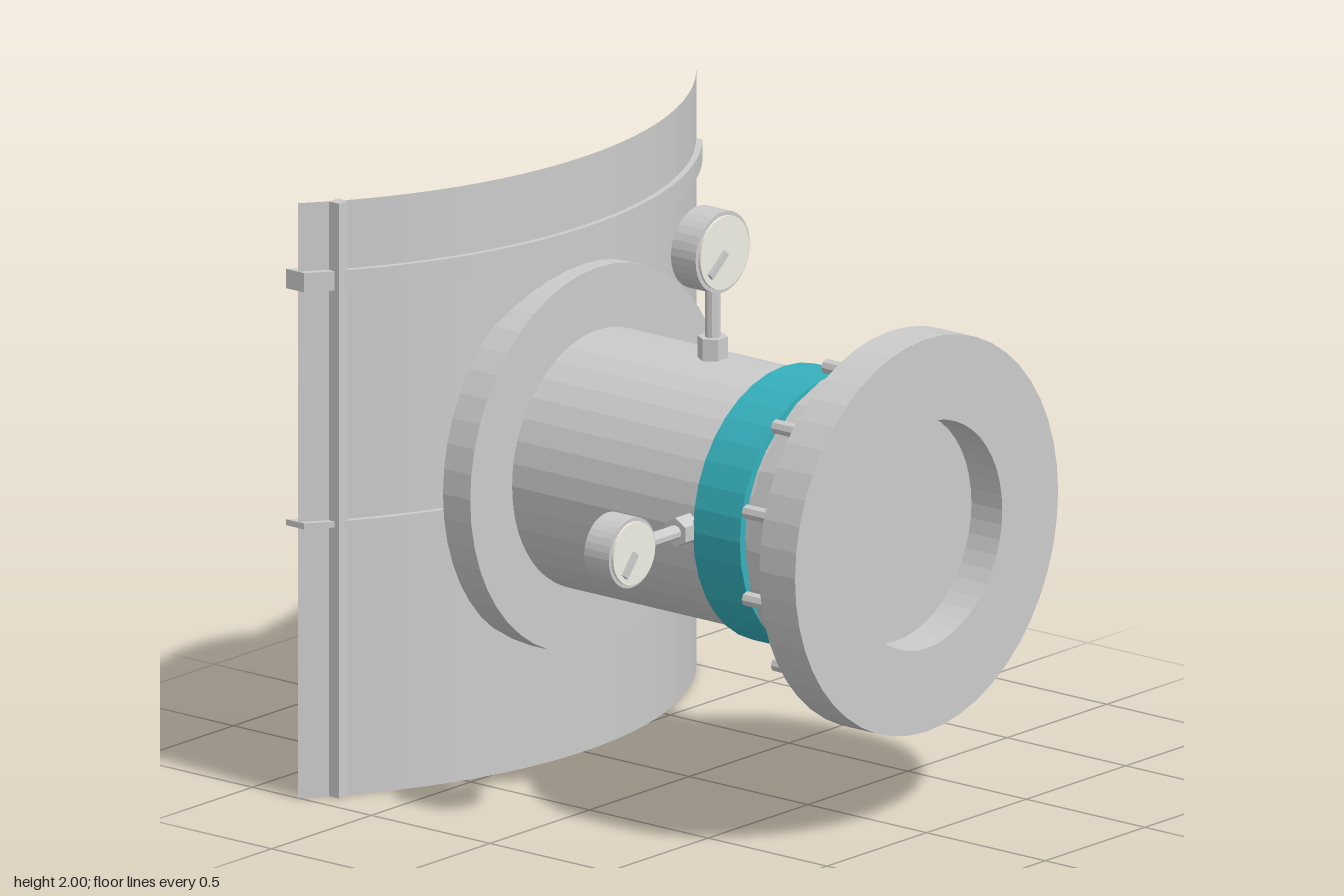
import * as THREE from 'three';

const material = (color = 0xcccccc, flatShading = true) =>
  new THREE.MeshStandardMaterial({ color, flatShading, side: THREE.DoubleSide });
const grey = material();
const teal = material(0x35b0bc);
const cream = material(0xf0eee4);

const AXIS_Y = 1;      // height of the pipe axis
const WALL_X = -2;     // centre of the wall's curve
const WALL_R = 1.555;

function add(parent, name, geometry, mat = grey) {
  const mesh = new THREE.Mesh(geometry, mat);
  mesh.name = name;
  parent.add(mesh);
  return mesh;
}

// Solid of revolution around the pipe axis from [x, radius] points
function turned(points, segments) {
  const profile = points.map(([x, r]) => new THREE.Vector2(r, x));
  return new THREE.LatheGeometry(profile, segments)
    .rotateZ(-Math.PI / 2)
    .translate(0, AXIS_Y, 0);
}

// Rectangular ring between two x positions
const ring = (x0, x1, inner, outer, segments) =>
  turned([[x0, inner], [x0, outer], [x1, outer], [x1, inner], [x0, inner]], segments);

// Horizontal curved strip through the wall, its ends cut at z = -1 and z = 1
function hoop(y0, y1) {
  const outer = 1.575, inner = 1.517;
  const a = Math.asin(1 / outer), b = Math.asin(1 / inner);
  const shape = new THREE.Shape();
  shape.absarc(0, 0, outer, -a, a, false);
  shape.absarc(0, 0, inner, b, -b, true);
  return new THREE.ExtrudeGeometry(shape, { depth: y1 - y0, bevelEnabled: false, curveSegments: 24 })
    .rotateX(-Math.PI / 2)
    .translate(WALL_X, y0, 0);
}

// Pressure gauge standing along local +y, its dial facing +x
function gauge(name, headY, headR, pointerY) {
  const group = new THREE.Group();
  group.name = name;
  add(group, 'gaugeNut', new THREE.CylinderGeometry(0.05, 0.05, 0.08, 6).translate(0, 0.03, 0));
  add(group, 'gaugeStem', new THREE.CylinderGeometry(0.026, 0.026, 0.18, 10).translate(0, 0.14, 0));
  const disc = (r, depth, x) =>
    new THREE.CylinderGeometry(r, r, depth, 32).rotateZ(Math.PI / 2).translate(x, headY, 0);
  add(group, 'gaugeCase', disc(headR, 0.104, -0.01));
  add(group, 'gaugeDial', disc(headR * 0.9, 0.01, 0.046), cream);
  const pointer = add(group, 'gaugePointer', new THREE.BoxGeometry(0.012, 0.025, headR * 0.75));
  pointer.position.set(0.056, headY + pointerY * headR * 0.23, headR * 0.29);
  pointer.rotation.x = -pointerY * 0.69;
  return group;
}

export function createModel() {
  const model = new THREE.Group();
  model.name = 'pipePenetration';

  // Curved wall plate with its stiffeners
  const half = Math.asin(1 / WALL_R);
  add(model, 'wallPlate', new THREE.CylinderGeometry(
    WALL_R, WALL_R, 2, 24, 1, true, Math.PI / 2 - half, 2 * half).translate(WALL_X, 1, 0));
  add(model, 'upperHoop', hoop(1.705, 1.77));
  add(model, 'lowerHoop', hoop(0.908, 0.928));
  add(model, 'verticalBar', new THREE.BoxGeometry(0.042, 2, 0.045).translate(-0.724, 1, 0.897));

  // Pipe and its collars
  add(model, 'pipe', turned([[-1, 0.43], [0.85, 0.43]], 36));
  add(model, 'wallFlange', ring(-0.5, -0.385, 0.43, 0.64, 48));
  add(model, 'colouredBand', ring(0.4, 0.597, 0.43, 0.457, 36), teal);
  add(model, 'hub', turned([[0.66, 0.43], [0.66, 0.5], [0.85, 0.525]], 24));

  // End flange, closed by a plate set back in its bore
  add(model, 'endFlange', ring(0.85, 1, 0.38, 0.66, 48));
  add(model, 'borePlate', new THREE.CircleGeometry(0.385, 48)
    .rotateY(Math.PI / 2).translate(0.87, AXIS_Y, 0), material(0xdddbd9));

  // Bolts behind the end flange
  for (let i = 0; i < 12; i++) {
    const angle = (i + 0.5) * Math.PI / 6;
    add(model, 'flangeBolt', new THREE.CylinderGeometry(0.025, 0.025, 0.15, 8)
      .rotateZ(Math.PI / 2)
      .translate(0.775, AXIS_Y + 0.565 * Math.sin(angle), 0.565 * Math.cos(angle)));
  }

  // One gauge on top and one on the front of the pipe
  const topGauge = gauge('topGauge', 0.36, 0.136, -1);
  topGauge.position.set(0.099, AXIS_Y + 0.43, 0);
  const frontGauge = gauge('frontGauge', 0.335, 0.117, 1);
  frontGauge.position.set(0.36, AXIS_Y, 0.43);
  frontGauge.rotation.x = Math.PI / 2;
  model.add(topGauge, frontGauge);

  return model;
}
